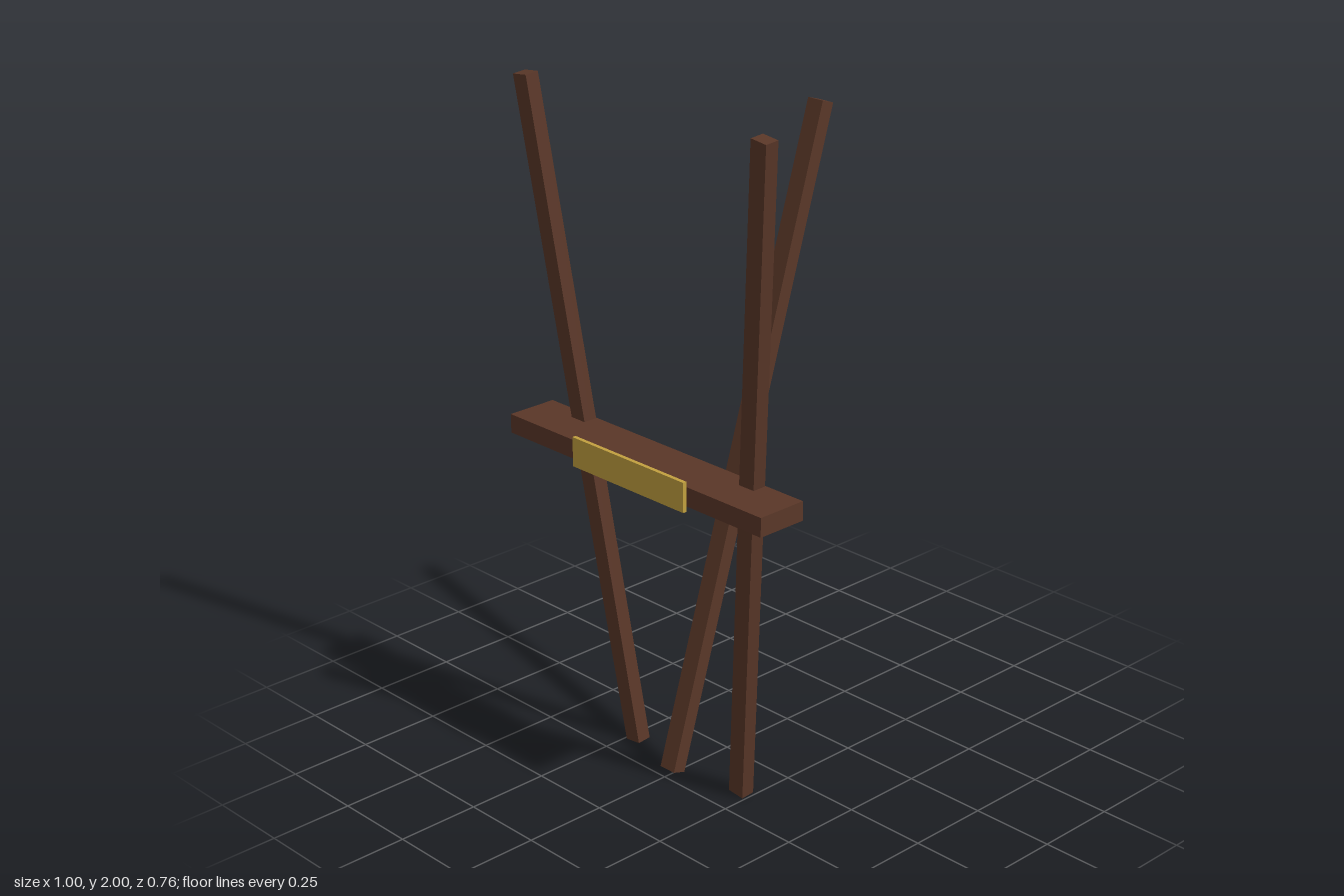
import * as THREE from 'three';

const wood = new THREE.MeshStandardMaterial({ color: 0x5a3728 });
const brass = new THREE.MeshStandardMaterial({ color: 0xc2a03f });

function box(name, material, size, position) {
  const mesh = new THREE.Mesh(new THREE.BoxGeometry(...size), material);
  mesh.name = name;
  mesh.position.set(...position);
  return mesh;
}

// Square-cut bar running between the centres of its two end faces
function bar(name, bottom, top, width, depth) {
  const a = new THREE.Vector3(...bottom);
  const b = new THREE.Vector3(...top);
  const d = b.clone().sub(a);
  const length = d.length();
  const middle = a.add(b).multiplyScalar(0.5);
  const mesh = box(name, wood, [width, length, depth], middle.toArray());
  mesh.rotation.set(Math.atan2(d.z, d.y), 0, -Math.asin(d.x / length));
  return mesh;
}

export function createModel() {
  const model = new THREE.Group();
  model.name = 'easel';

  // Splayed front legs, leaning forward towards the top
  for (const [name, s] of [['leftFrontLeg', 1], ['rightFrontLeg', -1]]) {
    model.add(bar(name, [s * 0.216, 0.005, 0.155], [s * 0.454, 1.995, 0.313], 0.054, 0.043));
  }

  // Rear leg, crossing the front pair near the ground
  model.add(bar('backLeg', [0, 0.014, 0.219], [0, 1.881, -0.358], 0.056, 0.043));

  // Shelf and the plain plate on its front edge
  model.add(box('shelf', wood, [1, 0.056, 0.155], [0, 0.981, 0.2875]));
  model.add(box('frontPlate', brass, [0.443, 0.087, 0.012], [0, 0.981, 0.371]));

  return model;
}
